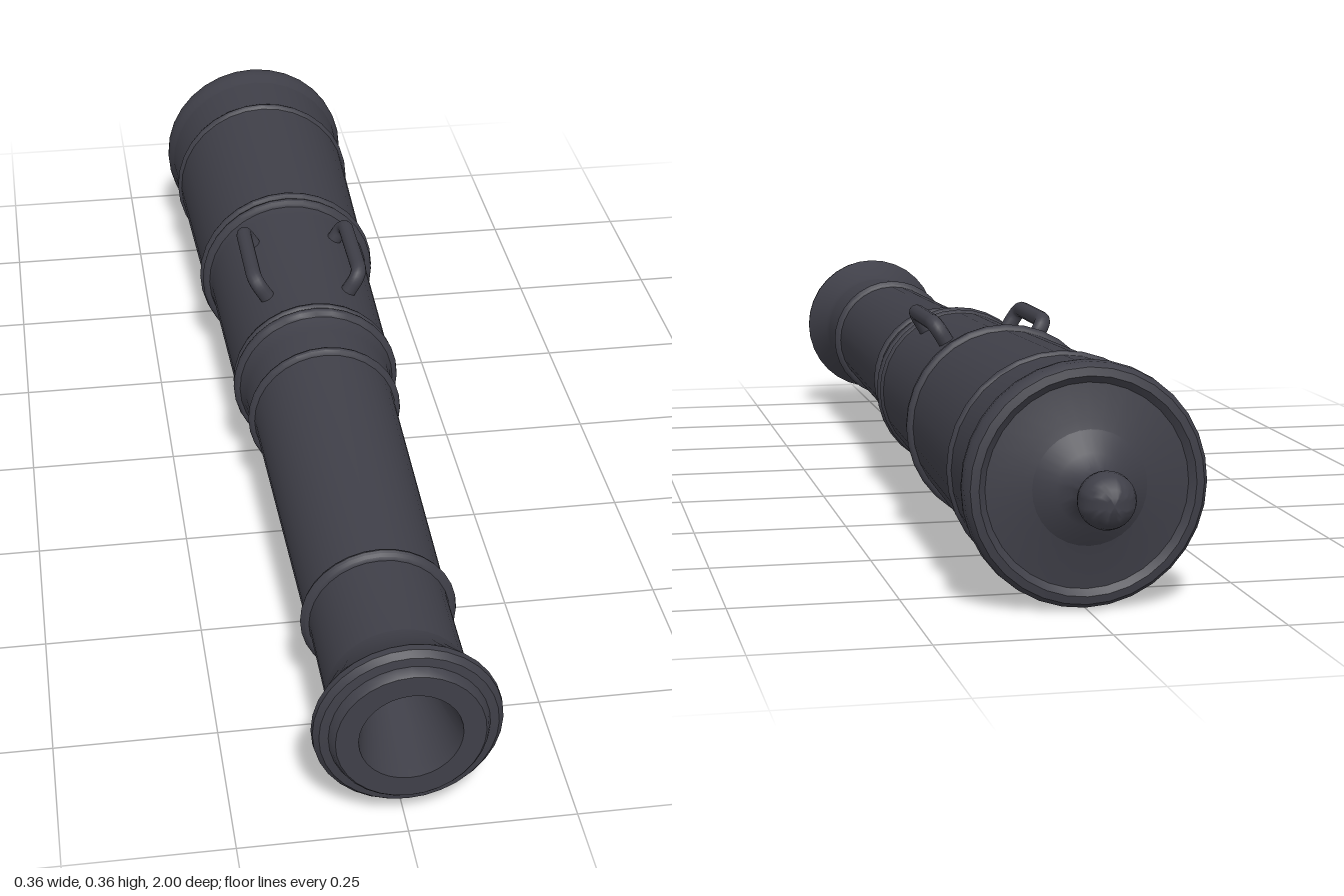
import * as THREE from 'three';
import { toCreasedNormals } from 'three/addons/utils/BufferGeometryUtils.js';

const AXIS = 0.179; // height of the bore axis

export function createModel() {
  const model = new THREE.Group();
  model.name = 'cannonBarrel';
  const iron = new THREE.MeshStandardMaterial({ color: 0x3f3f48 });
  iron.name = 'darkIron';

  // turn a [radius, z] profile around the barrel axis
  const turn = (name, profile) => {
    const points = profile.map(([r, z]) => new THREE.Vector2(r, z));
    const geometry = new THREE.LatheGeometry(points, 32).rotateX(Math.PI / 2);
    const mesh = new THREE.Mesh(toCreasedNormals(geometry, 0.6), iron);
    mesh.name = name;
    mesh.position.y = AXIS;
    model.add(mesh);
  };

  // rounded end knob and its neck
  const knob = [];
  for (let i = 0; i <= 9; i++) {
    const a = (i / 9) * 2.45;
    knob.push([0.041 * Math.sin(a), -0.959 - 0.041 * Math.cos(a)]);
  }
  turn('endKnob', [...knob, [0.028, -0.912], [0.034, -0.898], [0.052, -0.884], [0.082, -0.872], [0.09, -0.864]]);

  // closed back plate and thick rear rim
  turn('rearRim', [[0.075, -0.873], [0.10, -0.866], [0.148, -0.858], [0.158, -0.866], [0.17, -0.863],
    [0.177, -0.853], [0.178, -0.838], [0.176, -0.825], [0.171, -0.812], [0.169, -0.80]]);

  // stepped, tapering body
  turn('rearBody', [[0.170, -0.81], [0.165, -0.70], [0.153, -0.325]]);
  turn('middleBody', [[0.153, -0.325], [0.147, -0.305], [0.145, -0.29], [0.137, 0.04]]);
  turn('frontBody', [[0.137, 0.06], [0.130, 0.08], [0.127, 0.10], [0.123, 0.165], [0.120, 0.18], [0.108, 0.72],
    [0.106, 0.74], [0.105, 0.90]]);

  // raised bands: z, radius, half width
  const bands = [[-0.70, 0.171, 0.010], [-0.335, 0.163, 0.009], [-0.317, 0.160, 0.009], [0.038, 0.142, 0.010],
    [0.058, 0.144, 0.011], [0.165, 0.131, 0.009], [0.72, 0.119, 0.010]];
  for (const [z, r, w] of bands) {
    const bead = [];
    for (let i = 0; i <= 6; i++) {
      const a = (i / 6) * Math.PI;
      bead.push([r - 0.012 + 0.012 * Math.sin(a), z - w * Math.cos(a)]);
    }
    turn('band', bead);
  }

  // flared muzzle
  turn('muzzle', [[0.105, 0.89], [0.108, 0.91], [0.132, 0.955], [0.138, 0.965], [0.137, 0.975], [0.129, 0.984],
    [0.116, 0.986], [0.112, 0.996], [0.108, 1.0], [0.075, 1.0]]);

  // hollow bore with a narrow rounded end
  turn('bore', [[0.075, 1.0], [0.072, 0.985], [0.038, 0.80], [0.035, 0.785], [0.025, 0.77], [0.012, 0.763], [0, 0.76]]);

  // two lifting handles leaning out from the top
  for (const side of [1, -1]) {
    const path = new THREE.CurvePath();
    const p = (r, z) => new THREE.Vector3(0, r, z);
    const back = -0.223, front = -0.04, top = 0.178, bend = 0.024;
    path.add(new THREE.LineCurve3(p(0.125, back), p(top - bend, back)));
    path.add(new THREE.QuadraticBezierCurve3(p(top - bend, back), p(top, back), p(top, back + bend)));
    path.add(new THREE.LineCurve3(p(top, back + bend), p(top, front - bend)));
    path.add(new THREE.QuadraticBezierCurve3(p(top, front - bend), p(top, front), p(top - bend, front)));
    path.add(new THREE.LineCurve3(p(top - bend, front), p(0.125, front)));
    const handle = new THREE.Mesh(new THREE.TubeGeometry(path, 64, 0.0135, 12), iron);
    handle.name = side > 0 ? 'leftHandle' : 'rightHandle';
    handle.position.y = AXIS;
    handle.rotation.z = -side * 0.55;
    model.add(handle);
  }
  return model;
}
